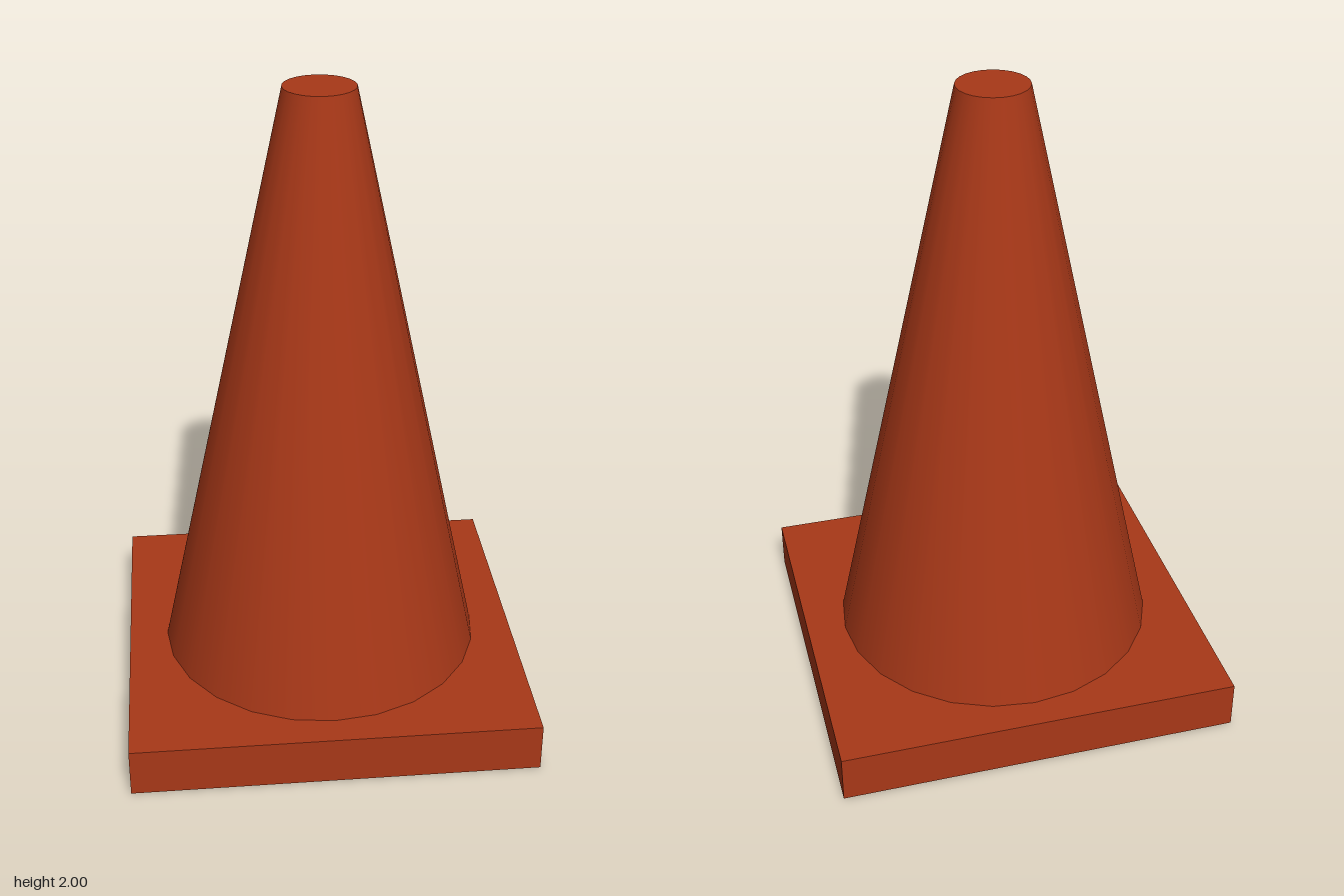
import * as THREE from 'three';

const BASE_HEIGHT = 0.155;
const TOTAL_HEIGHT = 2;

export function createModel() {
  const model = new THREE.Group();
  model.name = 'trafficCone';
  const orange = new THREE.MeshStandardMaterial({ color: 0xa83818 });

  // Slab the cone stands on, slightly wider than deep
  const base = new THREE.Mesh(new THREE.BoxGeometry(1.26, BASE_HEIGHT, 1.2), orange);
  base.name = 'base';
  base.position.y = BASE_HEIGHT / 2;
  model.add(base);

  // Smooth tapered body with a flat closed tip
  const coneHeight = TOTAL_HEIGHT - BASE_HEIGHT;
  const cone = new THREE.Mesh(new THREE.CylinderGeometry(0.108, 0.507, coneHeight, 24), orange);
  cone.name = 'cone';
  cone.position.y = BASE_HEIGHT + coneHeight / 2;
  model.add(cone);

  return model;
}
